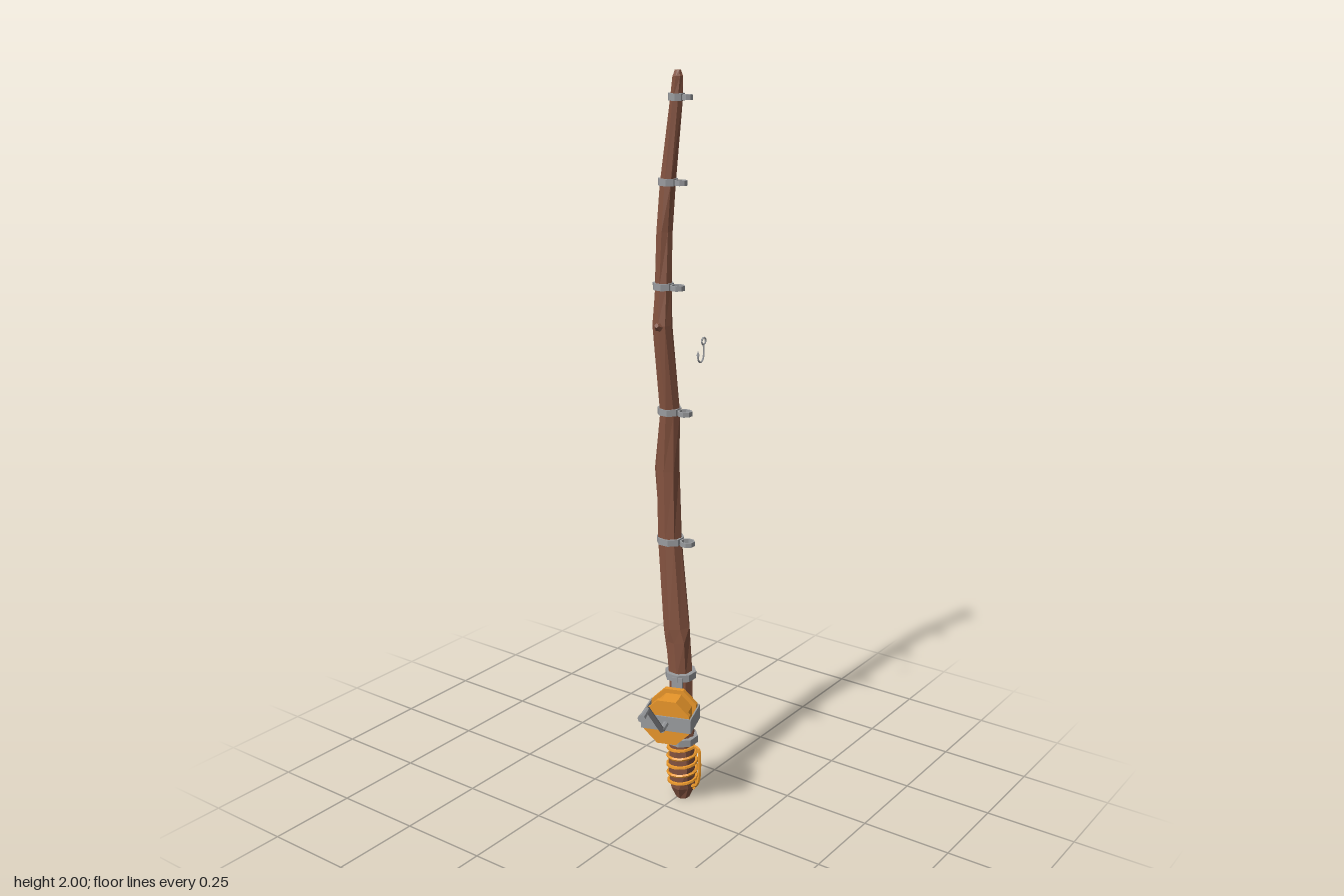
import * as THREE from 'three';

const mat = (color) => new THREE.MeshStandardMaterial({ color, flatShading: true, side: THREE.DoubleSide });
const WOOD = mat(0x83523f), METAL = mat(0x999b9e), DARK = mat(0x5a5a5c), ORANGE = mat(0xe8962a);

// Rod stations: y, x, z, radius
const ROD = [
  [0.005, 0.077, 0.008, 0.02], [0.04, 0.077, 0.007, 0.035], [0.1, 0.077, 0.006, 0.039],
  [0.2, 0.078, 0.004, 0.035], [0.38, 0.085, -0.006, 0.034], [0.48, 0.086, -0.017, 0.036],
  [0.52, 0.088, -0.024, 0.038], [0.76, 0.099, -0.052, 0.033], [0.96, 0.104, -0.066, 0.034],
  [1.12, 0.102, -0.058, 0.028], [1.36, 0.081, -0.066, 0.026], [1.46, 0.088, -0.069, 0.023],
  [1.6, 0.096, -0.072, 0.022], [1.72, 0.103, -0.066, 0.021], [1.93, 0.111, -0.046, 0.017],
  [1.985, 0.112, -0.042, 0.014], [2.0, 0.112, -0.042, 0.008],
];

// Rod centre and radius at a height
function rodAt(y) {
  let i = 0;
  while (i < ROD.length - 2 && ROD[i + 1][0] < y) i++;
  const a = ROD[i], b = ROD[i + 1], t = (y - a[0]) / (b[0] - a[0]);
  const [x, z, r] = [1, 2, 3].map((k) => a[k] + (b[k] - a[k]) * t);
  return { x, z, r };
}

function add(parent, name, geo, material, pos = [0, 0, 0], rot = [0, 0, 0]) {
  const m = new THREE.Mesh(geo, material);
  m.name = name;
  m.position.set(...pos);
  m.rotation.set(...rot);
  parent.add(m);
  return m;
}

// Lofted wooden pole with a slight twist in its facets
function rodGeometry(sides = 8) {
  const pos = [], idx = [];
  ROD.forEach(([y, x, z, r], i) => {
    for (let k = 0; k < sides; k++) {
      const a = (k / sides) * Math.PI * 2 + 0.2 + 0.12 * Math.sin(i * 1.7);
      const q = r * (1 + 0.06 * Math.sin(i * 2.3 + k * 2.1));
      pos.push(x + q * Math.sin(a), y, z + q * Math.cos(a));
    }
  });
  for (let i = 0; i < ROD.length - 1; i++) {
    for (let k = 0; k < sides; k++) {
      const a = i * sides + k, b = i * sides + ((k + 1) % sides);
      idx.push(a, b, b + sides, a, b + sides, a + sides);
    }
  }
  const top = (ROD.length - 1) * sides;
  for (let k = 1; k < sides - 1; k++) idx.push(0, k + 1, k, top, top + k, top + k + 1);
  const g = new THREE.BufferGeometry();
  g.setAttribute('position', new THREE.Float32BufferAttribute(pos, 3));
  g.setIndex(idx);
  g.computeVertexNormals();
  return g;
}

// Flat horizontal ring, centred on its own height
function bandGeometry(outer, inner, height, sides = 8) {
  const loop = (r) => Array.from({ length: sides }, (_, k) => {
    const a = ((k + 0.5) / sides) * Math.PI * 2;
    return new THREE.Vector2(r * Math.cos(a), r * Math.sin(a));
  });
  const s = new THREE.Shape(loop(outer));
  s.holes.push(new THREE.Path(loop(inner)));
  return new THREE.ExtrudeGeometry(s, { depth: height, bevelEnabled: false })
    .translate(0, 0, -height / 2).rotateX(-Math.PI / 2);
}

const tube = (points, r, segments, sides = 6) =>
  new THREE.TubeGeometry(new THREE.CatmullRomCurve3(points.map((p) => new THREE.Vector3(...p))), segments, r, sides);

function buildReel() {
  const reel = new THREE.Group();
  reel.name = 'reel';
  reel.position.set(-0.008, 0.297, 0.027);
  reel.rotation.y = 0.35;
  const disc = (r, len) => new THREE.CylinderGeometry(r, r, len, 8, 1, false, Math.PI / 8).rotateZ(Math.PI / 2);
  add(reel, 'spool', disc(0.056, 0.08), ORANGE);
  for (const s of [-1, 1]) {
    add(reel, 'spoolFlange', disc(0.069, 0.014), ORANGE, [s * 0.037, 0, 0]);
    // Flat strap frame around the spool
    add(reel, 'frameEnd', new THREE.BoxGeometry(0.004, 0.042, 0.14), METAL, [s * 0.048, 0, 0]);
    add(reel, 'frameSide', new THREE.BoxGeometry(0.1, 0.042, 0.004), METAL, [0, 0, s * 0.068]);
  }
  // Crank on the outer end
  add(reel, 'crankAxle', new THREE.CylinderGeometry(0.008, 0.008, 0.042, 8), METAL, [-0.068, 0, 0], [0, 0, Math.PI / 2]);
  add(reel, 'crankArm', new THREE.BoxGeometry(0.005, 0.078, 0.014), DARK, [-0.087, 0.028, -0.02], [-0.62, 0, 0]);
  add(reel, 'crankHandle', new THREE.CylinderGeometry(0.011, 0.006, 0.058, 8), METAL, [-0.115, 0.056, -0.04], [0, 0, Math.PI / 2]);
  // Arm joining the frame to the seat plate
  add(reel, 'reelArm', new THREE.BoxGeometry(0.025, 0.042, 0.034), METAL, [0.06, 0, -0.012]);
  return reel;
}

export function createModel() {
  const model = new THREE.Group();
  model.name = 'fishingRod';
  add(model, 'rod', rodGeometry(), WOOD);

  // Small knots on the wood
  for (const [y, dx, dz] of [[0.51, 0.8, -0.6], [0.955, 0.2, -1], [1.36, -1, 0.1]]) {
    const p = rodAt(y);
    const knot = add(model, 'knot', new THREE.CylinderGeometry(0.006, 0.014, 0.014, 6), WOOD,
      [p.x + dx * p.r * 0.94, y, p.z + dz * p.r * 0.94]);
    knot.quaternion.setFromUnitVectors(new THREE.Vector3(0, 1, 0), new THREE.Vector3(dx, 0.4, dz).normalize());
  }

  // Line guides: a strap around the rod with an eyelet in front
  for (const [y, eye] of [[0.763, 0.021], [1.125, 0.02], [1.46, 0.02], [1.725, 0.017], [1.935, 0.014]]) {
    const p = rodAt(y), r = p.r + 0.005;
    const guide = new THREE.Group();
    guide.name = 'lineGuide';
    guide.position.set(p.x, y, p.z);
    add(guide, 'strap', bandGeometry(r, r - 0.006, 0.018), METAL);
    add(guide, 'eyelet', bandGeometry(eye, eye - 0.005, 0.013), METAL, [0, 0, r + eye * 0.85]);
    model.add(guide);
  }

  // Reel seat: two clamps and a plate along the rod
  for (const y of [0.19, 0.382]) {
    const p = rodAt(y);
    add(model, 'seatClamp', bandGeometry(p.r + 0.01, p.r - 0.003, 0.02), METAL, [p.x - 0.003, y, p.z + 0.002]);
  }
  add(model, 'seatPlate', new THREE.BoxGeometry(0.008, 0.2, 0.03), METAL, [0.043, 0.286, 0.011], [0, 0.35, -0.03]);
  model.add(buildReel());

  // Twine wound around the grip
  const turns = 5, coil = [];
  for (let i = 0; i <= turns * 8; i++) {
    const a = (i / 8) * Math.PI * 2, y = 0.04 + 0.128 * (i / (turns * 8));
    const p = rodAt(y), r = p.r + 0.003;
    coil.push([p.x + r * Math.sin(a), y, p.z + r * Math.cos(a)]);
  }
  add(model, 'gripTwine', tube(coil, 0.005, turns * 16, 5), ORANGE);
  // Loose loop of twine at the front of the grip
  add(model, 'twineLoop', tube([[0.085, 0.168, 0.035], [0.083, 0.163, 0.058], [0.08, 0.14, 0.063],
    [0.078, 0.08, 0.063], [0.076, 0.055, 0.056], [0.078, 0.045, 0.038]], 0.005, 20, 5), ORANGE);

  // Hook hanging in front of the rod
  const hook = new THREE.Group();
  hook.name = 'hook';
  hook.position.set(0.113, 1.325, 0.042);
  add(hook, 'hookEye', new THREE.TorusGeometry(0.009, 0.0025, 5, 10), METAL);
  add(hook, 'hookBend', tube([[0, -0.009, 0], [0.001, -0.035, 0], [-0.004, -0.05, 0], [-0.014, -0.054, 0],
    [-0.023, -0.047, 0], [-0.025, -0.034, 0]], 0.0025, 18, 5), METAL);
  add(hook, 'hookPoint', new THREE.ConeGeometry(0.005, 0.014, 5), METAL, [-0.025, -0.028, 0]);
  model.add(hook);

  return model;
}
